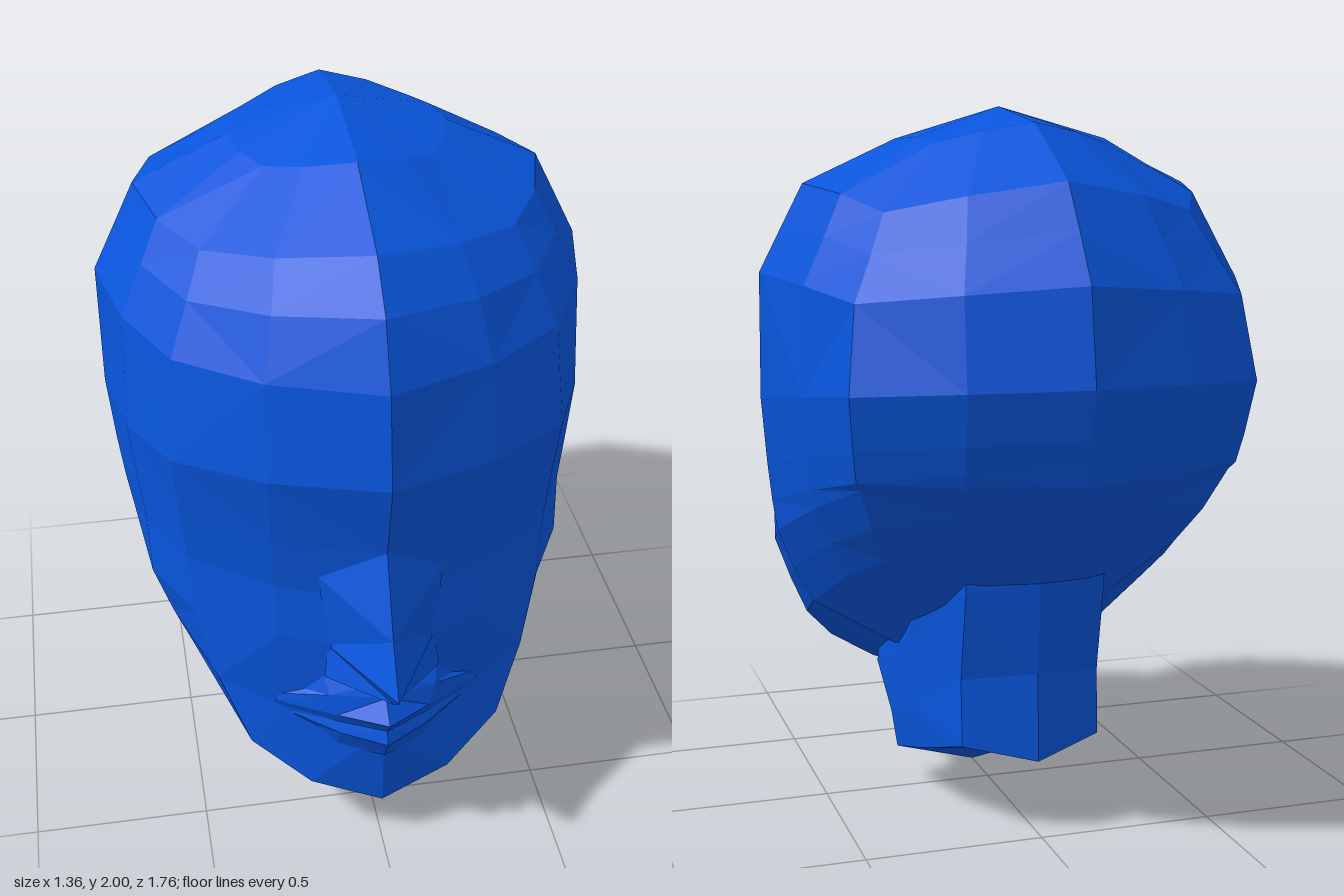
import * as THREE from 'three';

const distance = (p, q) => Math.hypot(p[0] - q[0], p[1] - q[1], p[2] - q[2]);

// Skin a list of point rows running top to bottom, each row ordered towards +x on the front.
function loft(rows, closed, capTop, capBottom) {
  const pos = [];
  const tri = (a, b, c) => pos.push(...a, ...b, ...c);
  for (let i = 0; i < rows.length - 1; i++) {
    const n = rows[i].length;
    for (let j = 0; j < (closed ? n : n - 1); j++) {
      const k = (j + 1) % n;
      const a = rows[i][j], b = rows[i][k], c = rows[i + 1][k], d = rows[i + 1][j];
      // split each quad along its shorter diagonal
      if (distance(a, c) < distance(b, d)) {
        tri(a, d, c);
        tri(a, c, b);
      } else {
        tri(a, d, b);
        tri(b, d, c);
      }
    }
  }
  const fan = (row, centre, up) => row.forEach((p, j) => {
    const q = row[(j + 1) % row.length];
    if (up) tri(centre, p, q); else tri(centre, q, p);
  });
  if (capTop) fan(rows[0], capTop, true);
  if (capBottom) fan(rows[rows.length - 1], capBottom, false);
  const g = new THREE.BufferGeometry();
  g.setAttribute('position', new THREE.Float32BufferAttribute(pos, 3));
  g.computeVertexNormals(); // unshared corners give flat facets
  return g;
}

// Close a half section (front centre to back centre) into a full loop.
const mirrorLoop = half => [
  ...half,
  ...half.slice(1, -1).reverse().map(([x, y, z]) => [-x, y, z]),
];

// Mirror a half row (listed from x = 0 outwards) into a full row.
const mirrorRow = half => [
  ...half.slice(1).reverse().map(([x, y, z]) => [-x, y, z]),
  ...half,
];

// Outline of the head seen from above, as fractions of width and depth
const OUTLINE = [
  [0, 1], [0.44, 0.84], [0.78, 0.61], [0.93, 0.33], [1, 0],
  [0.92, -0.38], [0.82, -0.69], [0.44, -0.885], [0, -1],
];

// Tilted head ring set by its front, side and back points; sag lowers and pulls in its diagonals.
function headRing([yF, zF, yS, xS, zS, yB, zB, sag = 0]) {
  return mirrorLoop(OUTLINE.map(([s, c]) => {
    const front = c > 0;
    const ac = Math.abs(c);
    const drop = sag * 4 * (s * c) ** 2;
    const z = zS + ((front ? zF : zB) - zS) * ac * (1 - drop);
    const y = yS + ((front ? yF : yB) - yS) * ac ** (front ? 2 : 0.9);
    return [xS * s * (1 - drop), y - drop, z];
  }));
}

export function createModel() {
  const blue = new THREE.MeshStandardMaterial({ color: 0x0855dc });
  blue.name = 'blue';
  const model = new THREE.Group();
  model.name = 'head';
  const add = (name, geometry) => {
    const m = new THREE.Mesh(geometry, blue);
    m.name = name;
    model.add(m);
  };

  // Skull: front y z, side y x z, back y z, sag
  const skull = [
    [1.95, 0.22, 1.91, 0.30, -0.10, 1.95, -0.41, 0.03],
    [1.83, 0.50, 1.79, 0.56, -0.10, 1.80, -0.67, 0.06],
    [1.72, 0.62, 1.68, 0.615, -0.09, 1.68, -0.755, 0.05],
    [1.55, 0.70, 1.55, 0.68, -0.08, 1.55, -0.84, 0.04],
    [1.29, 0.74, 1.20, 0.68, -0.06, 1.30, -0.88],
    [1.06, 0.69, 1.01, 0.66, -0.03, 1.17, -0.845],
    [0.88, 0.67, 0.90, 0.645, -0.01, 1.10, -0.82],
  ].map(headRing);

  // Cheek, mouth and jaw lines: half sections from front centre to back centre
  const jaw = [
    [[0, 0.72, 0.69], [0.28, 0.73, 0.58], [0.49, 0.72, 0.43], [0.595, 0.73, 0.24], [0.63, 0.81, 0],
      [0.58, 0.93, -0.30], [0.515, 1.02, -0.55], [0.28, 1.04, -0.71], [0, 1.04, -0.80]],
    [[0, 0.42, 0.69], [0.27, 0.46, 0.58], [0.44, 0.52, 0.49], [0.545, 0.60, 0.27], [0.58, 0.69, 0.03],
      [0.53, 0.82, -0.26], [0.47, 0.90, -0.49], [0.25, 0.95, -0.64], [0, 0.96, -0.72]],
    [[0, 0.15, 0.68], [0.20, 0.215, 0.64], [0.36, 0.325, 0.56], [0.49, 0.48, 0.30], [0.52, 0.58, 0.05],
      [0.48, 0.71, -0.21], [0.42, 0.80, -0.42], [0.22, 0.85, -0.56], [0, 0.88, -0.64]],
  ].map(mirrorLoop);

  // Line where the underside of the jaw meets the neck
  const throat = headRing([0.23, 0.25, 0.46, 0.30, -0.05, 0.72, -0.48]);
  add('skull', loft([...skull, ...jaw, throat], true, [0, 2, -0.1], [0, 0.46, -0.1]));

  // Neck: half sections from front centre to back centre
  const neck = [
    [[0, 0.30, 0.25], [0.29, 0.37, 0.20], [0.29, 0.58, -0.20], [0.20, 0.80, -0.44], [0, 0.80, -0.48]],
    [[0, 0.23, 0.25], [0.29, 0.33, 0.21], [0.29, 0.50, -0.18], [0.20, 0.70, -0.44], [0, 0.72, -0.48]],
    [[0, 0.16, 0.17], [0.28, 0.21, 0.08], [0.28, 0.32, -0.18], [0.20, 0.44, -0.39], [0, 0.46, -0.46]],
    [[0, 0.00, 0.16], [0.265, 0.10, 0.07], [0.265, 0.18, -0.18], [0.20, 0.25, -0.40], [0, 0.21, -0.47]],
  ].map(mirrorLoop);
  add('neck', loft(neck, true, [0, 0.6, -0.1], [0, 0.14, -0.16]));

  // Nose: ridge point and edge point for each row
  const nose = [
    [[0, 1.06, 0.69], [0.04, 1.06, 0.66]],
    [[0, 0.84, 0.79], [0.17, 0.94, 0.61]],
    [[0, 0.705, 0.88], [0.15, 0.71, 0.62]],
    [[0, 0.64, 0.81], [0.16, 0.62, 0.65]],
    [[0, 0.61, 0.68], [0.16, 0.61, 0.60]],
  ].map(mirrorRow);
  add('nose', loft(nose, false));

  // Lips: centre, mid and corner points for each row
  const lips = [
    [[0, 0.61, 0.69], [0.16, 0.61, 0.62], [0.26, 0.53, 0.56]],
    [[0, 0.57, 0.71], [0.15, 0.56, 0.66], [0.28, 0.51, 0.575]],
    [[0, 0.52, 0.77], [0.13, 0.50, 0.68], [0.29, 0.485, 0.575]],
    [[0, 0.47, 0.735], [0.13, 0.46, 0.66], [0.29, 0.465, 0.565]],
    [[0, 0.43, 0.75], [0.12, 0.43, 0.68], [0.27, 0.45, 0.575]],
    [[0, 0.345, 0.70], [0.13, 0.35, 0.64], [0.22, 0.40, 0.58]],
  ].map(mirrorRow);
  add('lips', loft(lips, false));

  return model;
}
